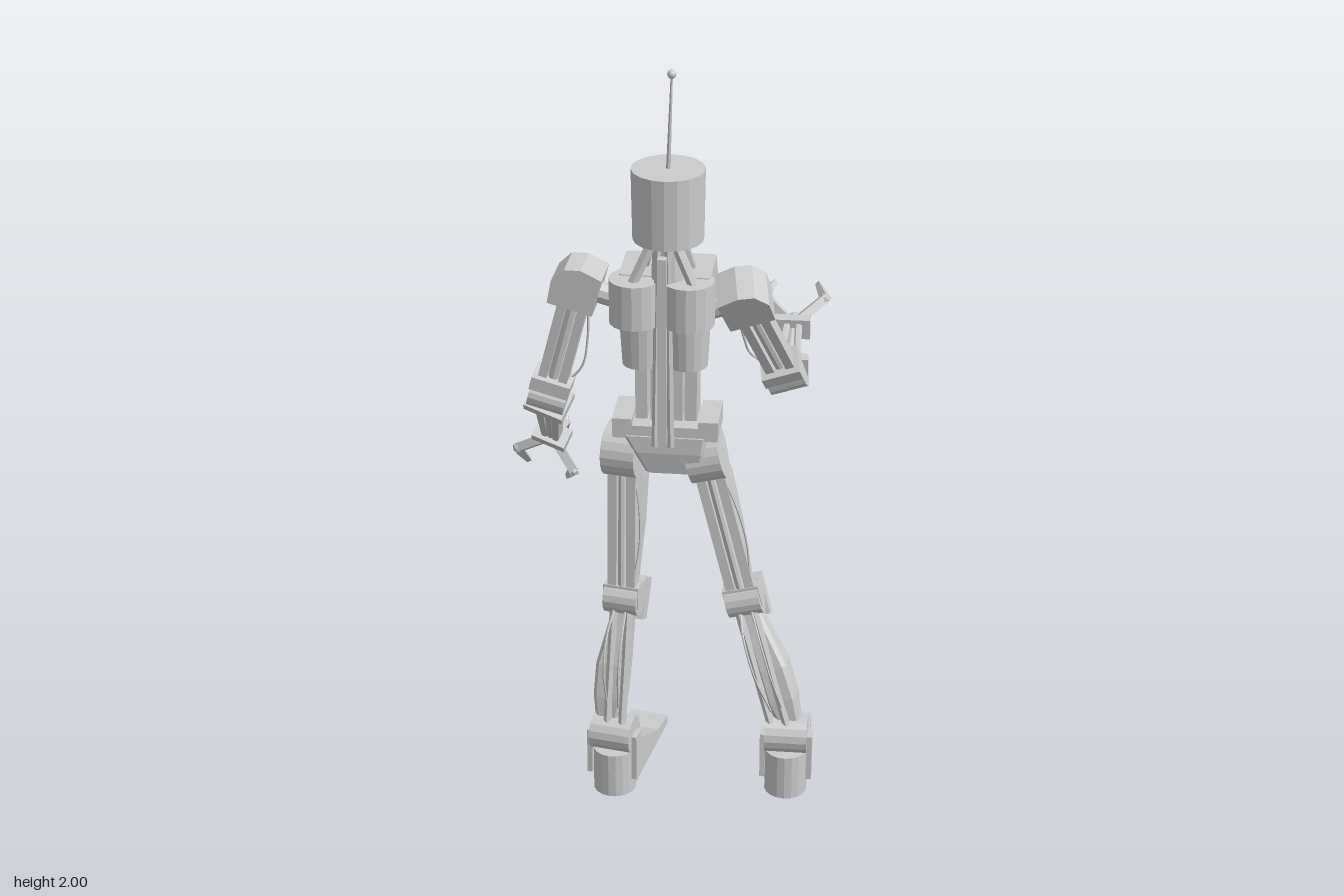
import * as THREE from 'three';

const metal = new THREE.MeshStandardMaterial({ color: 0xcccccc, flatShading: true });
metal.name = 'light grey metal';
const V = (x, y, z) => new THREE.Vector3(x, y, z);

function add(parent, name, geo, x = 0, y = 0, z = 0) {
  const m = new THREE.Mesh(geo, metal);
  m.name = name;
  m.position.set(x, y, z);
  parent.add(m);
  return m;
}
const box = (p, name, w, h, d, x, y, z) => add(p, name, new THREE.BoxGeometry(w, h, d), x, y, z);

// Cylinder lying along the x axis
function axle(p, name, r, len, x, y, z, sides = 16) {
  const m = add(p, name, new THREE.CylinderGeometry(r, r, len, sides), x, y, z);
  m.rotation.z = Math.PI / 2;
  return m;
}

// Straight rod or square bar between two points
function rod(p, name, a, b, r, sides = 6, r2 = r) {
  const m = add(p, name, new THREE.CylinderGeometry(r2, r, a.distanceTo(b), sides));
  m.position.copy(a).lerp(b, 0.5);
  m.quaternion.setFromUnitVectors(V(0, 1, 0), b.clone().sub(a).normalize());
  return m;
}

function cable(p, pts, r = 0.003) {
  add(p, 'cable', new THREE.TubeGeometry(new THREE.CatmullRomCurve3(pts), 14, r, 5));
}

// Chamfered-box loft; sections are [y, width, depth, centreX, centreZ], rising in y
function loft(p, name, sections, c = 0.01) {
  const rings = sections.map(([y, w, d, x = 0, z = 0]) => {
    const a = w / 2, b = d / 2;
    return [[a, b - c], [a, c - b], [a - c, -b], [c - a, -b], [-a, c - b], [-a, b - c], [c - a, b], [a - c, b]]
      .map(([u, v]) => V(x + u, y, z + v));
  });
  const tris = [];
  for (let i = 0; i + 1 < rings.length; i++) {
    for (let j = 0; j < 8; j++) {
      const k = (j + 1) % 8, lo = rings[i], hi = rings[i + 1];
      tris.push(lo[j], lo[k], hi[k], lo[j], hi[k], hi[j]);
    }
  }
  const bottom = rings[0], top = rings[rings.length - 1];
  for (let j = 1; j < 7; j++) {
    tris.push(top[0], top[j], top[j + 1], bottom[0], bottom[j + 1], bottom[j]);
  }
  const geo = new THREE.BufferGeometry().setFromPoints(tris);
  geo.computeVertexNormals();
  return add(p, name, geo);
}

// Group at a, with +y toward b and -z toward the given forward direction
function frame(parent, name, a, b, fwd) {
  const g = new THREE.Group();
  g.name = name;
  const y = b.clone().sub(a).normalize();
  const z = fwd.clone().negate().addScaledVector(y, fwd.dot(y)).normalize();
  g.position.copy(a);
  g.quaternion.setFromRotationMatrix(new THREE.Matrix4().makeBasis(V(0, 0, 0).crossVectors(y, z), y, z));
  parent.add(g);
  return [g, a.distanceTo(b)];
}

// Side profile extruded symmetrically about its plane
function slab(p, name, pts, depth) {
  const shape = new THREE.Shape(pts.map(([x, y]) => new THREE.Vector2(x, y)));
  const geo = new THREE.ExtrudeGeometry(shape, { depth, bevelEnabled: false });
  geo.translate(0, 0, -depth / 2);
  return add(p, name, geo);
}

function buildTorso(root) {
  const t = new THREE.Group();
  t.name = 'torso';
  t.position.set(0.025, 0, 0.235);
  t.rotation.y = 0.19;
  root.add(t);
  loft(t, 'chest', [
    [1.235, 0.17, 0.11, 0, -0.015], [1.3, 0.2, 0.16, 0, -0.04],
    [1.37, 0.235, 0.175, 0, -0.045], [1.47, 0.225, 0.15, 0, -0.035],
  ], 0.006);
  for (const s of [-1, 1]) {
    add(t, 'backDrum', new THREE.CylinderGeometry(0.064, 0.064, 0.115, 16), s * 0.066 - 0.006, 1.41, 0.05);
    add(t, 'lowerBackDrum', new THREE.CylinderGeometry(0.055, 0.048, 0.12, 16), s * 0.058, 1.295, 0.035);
    box(t, 'abdomenPost', 0.03, 0.17, 0.085, s * 0.062, 1.155, -0.025);
    rod(t, 'spineRod', V(s * 0.02, 1.03, 0.085), V(s * 0.012, 1.57, 0.07), 0.009);
    rod(t, 'neckStrut', V(s * 0.075, 1.46, 0.07), V(s * 0.02, 1.585, 0.055), 0.014);
    rod(t, 'frontNeckStrut', V(s * 0.06, 1.46, -0.03), V(s * 0.03, 1.585, 0.015), 0.014);
    box(t, 'chestBolt', 0.012, 0.012, 0.02, s * 0.095, 1.385, -0.136);
    box(t, 'pelvisCorner', 0.05, 0.05, 0.13, s * 0.108, 1.055, -0.02);
  }
  box(t, 'spine', 0.022, 0.5, 0.022, 0, 1.29, 0.092);
  box(t, 'abdomen', 0.08, 0.18, 0.06, 0, 1.155, -0.02);
  add(t, 'neck', new THREE.CylinderGeometry(0.036, 0.042, 0.13, 12), 0.008, 1.515, 0.035);
  // Pelvis band over a tapered block
  box(t, 'pelvisBand', 0.26, 0.035, 0.13, 0, 1.045, -0.02);
  loft(t, 'pelvis', [[0.93, 0.14, 0.1, 0.02, -0.01], [0.99, 0.18, 0.13, 0.01, -0.015], [1.035, 0.21, 0.13, 0, -0.015]]);
  // Head with single lens and antenna
  const h = new THREE.Group();
  h.name = 'head';
  h.position.set(0.009, 0, 0.035);
  t.add(h);
  add(h, 'headDrum', new THREE.CylinderGeometry(0.09, 0.087, 0.18, 18), 0, 1.66, 0);
  const eye = [['lensBarrel', 0.041, 0.06, -0.105], ['lensTip', 0.028, 0.03, -0.146]];
  for (const [name, r, len, z] of eye) {
    add(h, name, new THREE.CylinderGeometry(r, r * 0.95, len, 10), 0.002, 1.67, z).rotation.x = -Math.PI / 2;
  }
  rod(h, 'antenna', V(0, 1.745, 0), V(0.01, 1.985, 0.01), 0.006, 6, 0.003);
  add(h, 'antennaTip', new THREE.SphereGeometry(0.011, 10, 8), 0.01, 1.989, 0.01);
}

function buildLeg(root, side, hip, knee, ankle, yaw) {
  const fwd = V(-Math.sin(yaw), 0, -Math.cos(yaw));
  // Thigh
  const [t, tl] = frame(root, 'thigh', knee, hip, fwd);
  loft(t, 'thighCover', [
    [0.04, 0.06, 0.04, 0, -0.025], [0.2, 0.074, 0.07, 0, -0.045],
    [0.33, 0.08, 0.08, 0, -0.052], [tl, 0.072, 0.06, 0, -0.03],
  ], 0.01);
  for (const s of [-1, 1]) {
    box(t, 'thighBar', 0.024, tl, 0.035, s * 0.025, tl / 2, 0.01);
  }
  rod(t, 'thighPiston', V(0, 0, 0.018), V(0, tl, 0.018), 0.011, 8);
  cable(t, [V(0.03, 0.05, 0.025), V(0.048, 0.17, 0.02), V(0.045, 0.28, 0.02), V(0.02, tl, 0.02)]);
  axle(t, 'hipJoint', 0.07, 0.088, 0, tl, 0, 20);
  box(t, 'kneeClamp', 0.095, 0.06, 0.08, 0, 0.012, -0.01);
  // Knee and shin
  axle(t, 'kneeJoint', 0.046, 0.09, 0, 0, 0);
  const [c, cl] = frame(root, 'shin', ankle, knee, fwd);
  box(c, 'kneePad', 0.09, 0.11, 0.035, 0, cl - 0.02, -0.065).rotation.x = -0.2;
  const o = side * 0.018;
  loft(c, 'shinCover', [
    [0.02, 0.06, 0.045, o, -0.005], [0.1, 0.08, 0.075, o, -0.01],
    [0.19, 0.078, 0.088, o, -0.016], [cl - 0.02, 0.05, 0.05, 0, -0.018],
  ], 0.01);
  for (const k of [0, 1]) {
    rod(c, 'shinRod', V(side * (0.012 - k * 0.04), 0, 0.025), V(side * (0.02 - k * 0.04), cl, 0.02), 0.011);
  }
  for (const k of [-1, 1]) {
    cable(c, [V(k * 0.015, cl - 0.03, 0.03), V(k * 0.02, cl - 0.09, 0.065), V(k * 0.02, 0.2, 0.075), V(k * 0.015, 0.08, 0.03)]);
  }
  // Foot
  const f = new THREE.Group();
  f.name = 'foot';
  f.position.set(ankle.x, side > 0 ? 0.01 : 0, ankle.z);
  f.rotation.y = yaw;
  root.add(f);
  slab(f, 'footWedge', [[0, 0], [0.31, 0.01], [0.31, 0.036], [0.225, 0.042], [0.05, 0.125], [0, 0.125]], 0.102).rotation.y = Math.PI / 2;
  add(f, 'heel', new THREE.CylinderGeometry(0.056, 0.056, 0.125, 18), 0, 0.0625, -0.002);
  axle(f, 'ankleJoint', 0.05, 0.11, 0, ankle.y - f.position.y, 0);
  for (const s of [-1, 1]) box(f, 'anklePlate', 0.014, 0.13, 0.045, s * 0.061, 0.11, 0);
}

function buildArm(root, side, shoulder, elbow, wrist, fwd, foreUp, thumb) {
  // Upper arm with bevelled shoulder cap
  const [u, ul] = frame(root, 'upperArm', elbow, shoulder, fwd);
  const cap = [[-0.055, -0.045], [0.06, -0.045], [0.064, 0.015], [0.04, 0.055], [0, 0.066], [-0.055, 0.055]];
  slab(u, 'shoulderCap', cap.map(([x, y]) => [x * side, y]), 0.104).position.y = ul;
  axle(u, 'shoulderAxle', 0.028, 0.1, -side * 0.06, ul, 0, 10);
  for (const s of [-1, 1]) {
    box(u, 'upperArmBar', 0.022, ul, 0.05, s * 0.026, ul / 2, 0);
  }
  rod(u, 'upperArmPiston', V(0, 0, 0.008), V(0, ul, 0.008), 0.013, 8);
  cable(u, [V(-side * 0.03, 0.04, -0.02), V(-side * 0.06, 0.1, -0.02), V(-side * 0.055, 0.18, -0.02), V(-side * 0.03, ul - 0.03, -0.01)]);
  box(u, 'elbowClamp', 0.1, 0.035, 0.085, 0, 0.045, 0);
  axle(u, 'elbowJoint', 0.036, 0.095, 0, 0, 0);
  // Forearm
  const [f, fl] = frame(root, 'forearm', elbow, wrist, foreUp);
  box(f, 'forearmClamp', 0.105, 0.03, 0.08, 0, 0.035, 0);
  for (const s of [-1, 1]) {
    loft(f, 'forearmBar', [[0, 0.022, 0.05, s * 0.025], [fl, 0.018, 0.034, s * 0.015]], 0.004);
  }
  rod(f, 'forearmPiston', V(0, 0, 0.01), V(0, fl, 0.005), 0.011, 8);
  box(f, 'wristPlate', 0.092, 0.03, 0.056, 0, fl, 0);
  // Claw of three jointed fingers
  add(f, 'palm', new THREE.CylinderGeometry(0.018, 0.028, 0.04, 8), 0, fl + 0.025, 0);
  for (const [x, z] of [[0.08, -0.045], [-0.08, -0.045], [0, 0.075]]) {
    const base = V(x * 0.15, fl + 0.02, z * thumb * 0.15);
    const knuckle = V(x, fl + 0.075, z * thumb);
    const tip = V(x * 0.72, fl + 0.165, z * thumb * 0.8);
    rod(f, 'fingerBase', base, knuckle, 0.016, 4);
    rod(f, 'fingerTip', knuckle, tip, 0.016, 4, 0.009);
    add(f, 'knuckle', new THREE.SphereGeometry(0.015, 6, 4), knuckle.x, knuckle.y, knuckle.z);
  }
}

export function createModel() {
  const root = new THREE.Group();
  root.name = 'robot';
  buildTorso(root);
  buildLeg(root, -1, V(-0.088, 0.96, 0.232), V(-0.087, 0.54, 0.252), V(-0.093, 0.17, 0.328), 0.01);
  buildLeg(root, 1, V(0.115, 0.96, 0.195), V(0.215, 0.545, 0.175), V(0.346, 0.18, 0.217), 0.2);
  buildArm(root, -1, V(-0.18, 1.43, 0.3), V(-0.265, 1.115, 0.3), V(-0.325, 0.91, 0.12), V(-0.15, 0, -1), V(0, 0, -1), -1);
  buildArm(root, 1, V(0.218, 1.41, 0.215), V(0.28, 1.125, 0.035), V(0.23, 1.152, -0.205), V(-0.2, 0, -1), V(0, 1, 0), 1);
  return root;
}
